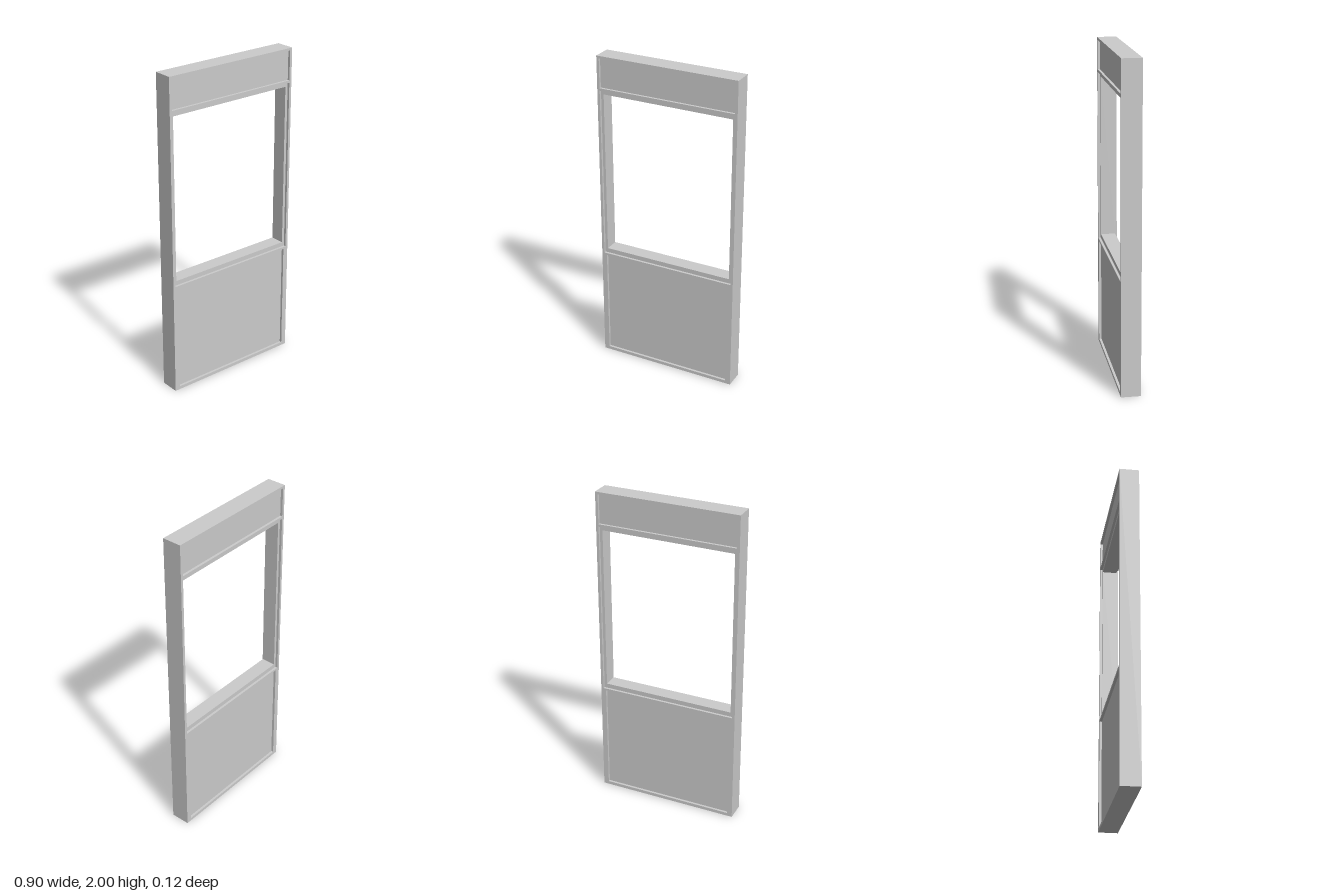
import * as THREE from 'three';

const material = new THREE.MeshStandardMaterial({ color: 0xcccccc });
const HALF = 0.06;           // half of the frame thickness
const FLOOR = HALF - 0.015;  // depth of the recessed surfaces

// Rectangles as half width, bottom, top
const OUTER = [0.449, 0, 2];
const TOP = [0.433, 1.803, 1.985];
const REBATE = [0.433, 0.713, 1.788];
const OPENING = [0.416, 0.741, 1.763];
const LOWER = [0.416, 0.02, 0.7];

const corners = ([w, b, t]) => [[-w, b], [w, b], [w, t], [-w, t]];

function mesh(name, geometry) {
  const m = new THREE.Mesh(geometry, material);
  m.name = name;
  return m;
}

// Flat face looking to +z, with rectangular holes
function face(name, rect, z, holes = []) {
  const toPoints = (r) => corners(r).map(([x, y]) => new THREE.Vector2(x, y));
  const shape = new THREE.Shape(toPoints(rect));
  holes.forEach((h) => shape.holes.push(new THREE.Path(toPoints(h).reverse())));
  return mesh(name, new THREE.ShapeGeometry(shape).translate(0, 0, z));
}

// Four walls along a rectangle from z0 to z1, facing outward or inward
function walls(name, rect, z0, z1, inward) {
  const c = corners(rect);
  const positions = [];
  for (let i = 0; i < 4; i++) {
    const a = inward ? c[(i + 1) % 4] : c[i];
    const b = inward ? c[i] : c[(i + 1) % 4];
    positions.push(...a, z0, ...b, z0, ...b, z1, ...a, z0, ...b, z1, ...a, z1);
  }
  const g = new THREE.BufferGeometry();
  g.setAttribute('position', new THREE.Float32BufferAttribute(positions, 3));
  g.computeVertexNormals();
  return mesh(name, g);
}

export function createModel() {
  const model = new THREE.Group();
  model.name = 'doorPanel';

  // Outer edges and the lining of the window opening
  model.add(walls('outerEdges', OUTER, -HALF, HALF, false));
  model.add(walls('windowLining', OPENING, -FLOOR, FLOOR, true));

  // Both sides are alike: frame face, recess walls, panels and window ledge
  ['frontSide', 'backSide'].forEach((name, i) => {
    const side = new THREE.Group();
    side.name = name;
    side.add(face('frameFace', OUTER, HALF, [TOP, REBATE, LOWER]));
    side.add(walls('topRecess', TOP, FLOOR, HALF, true));
    side.add(walls('windowRebate', REBATE, FLOOR, HALF, true));
    side.add(walls('lowerRecess', LOWER, FLOOR, HALF, true));
    side.add(face('topPanel', TOP, FLOOR));
    side.add(face('windowLedge', REBATE, FLOOR, [OPENING]));
    side.add(face('lowerPanel', LOWER, FLOOR));
    side.rotation.y = i * Math.PI;
    model.add(side);
  });

  return model;
}
